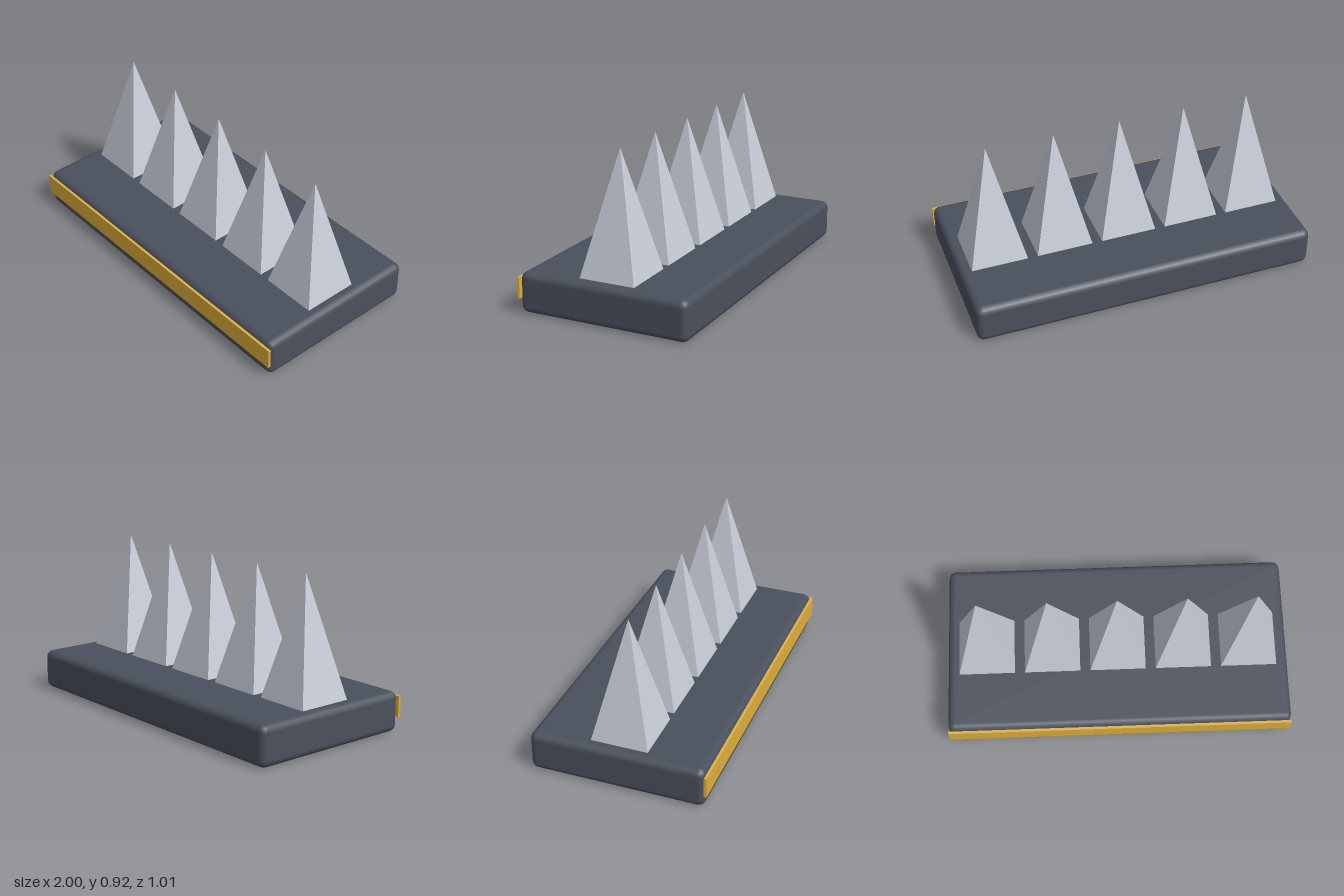
import * as THREE from 'three';
import { RoundedBoxGeometry } from 'three/addons/geometries/RoundedBoxGeometry.js';

const CENTER_Z = -0.007;
const BASE_HEIGHT = 0.23;

export function createModel() {
  const model = new THREE.Group();
  model.name = 'spikeTrap';

  const add = (name, geometry, material, x, y, z) => {
    const mesh = new THREE.Mesh(geometry, material);
    mesh.name = name;
    mesh.position.set(x, y, z);
    model.add(mesh);
  };

  const slate = new THREE.MeshStandardMaterial({ color: 0x4a505c });
  const yellow = new THREE.MeshStandardMaterial({ color: 0xe0b03c });
  const steel = new THREE.MeshStandardMaterial({ color: 0xc8cdd8, flatShading: true });

  // Slab with softly bevelled edges
  add('base', new RoundedBoxGeometry(2, BASE_HEIGHT, 1, 2, 0.04), slate, 0, BASE_HEIGHT / 2, CENTER_Z);

  // Warning strip along the front edge
  add('warningStrip', new THREE.BoxGeometry(2, 0.12, 0.015), yellow, 0, 0.14, 0.5);

  // Row of square pyramid spikes
  const spikeHeight = 0.69;
  const spike = new THREE.ConeGeometry(0.163 * Math.SQRT2, spikeHeight, 4);
  spike.rotateY(Math.PI / 4);
  for (let i = -2; i <= 2; i++) {
    add(`spike${i + 3}`, spike, steel, i * 0.385, BASE_HEIGHT + spikeHeight / 2, CENTER_Z);
  }

  return model;
}
